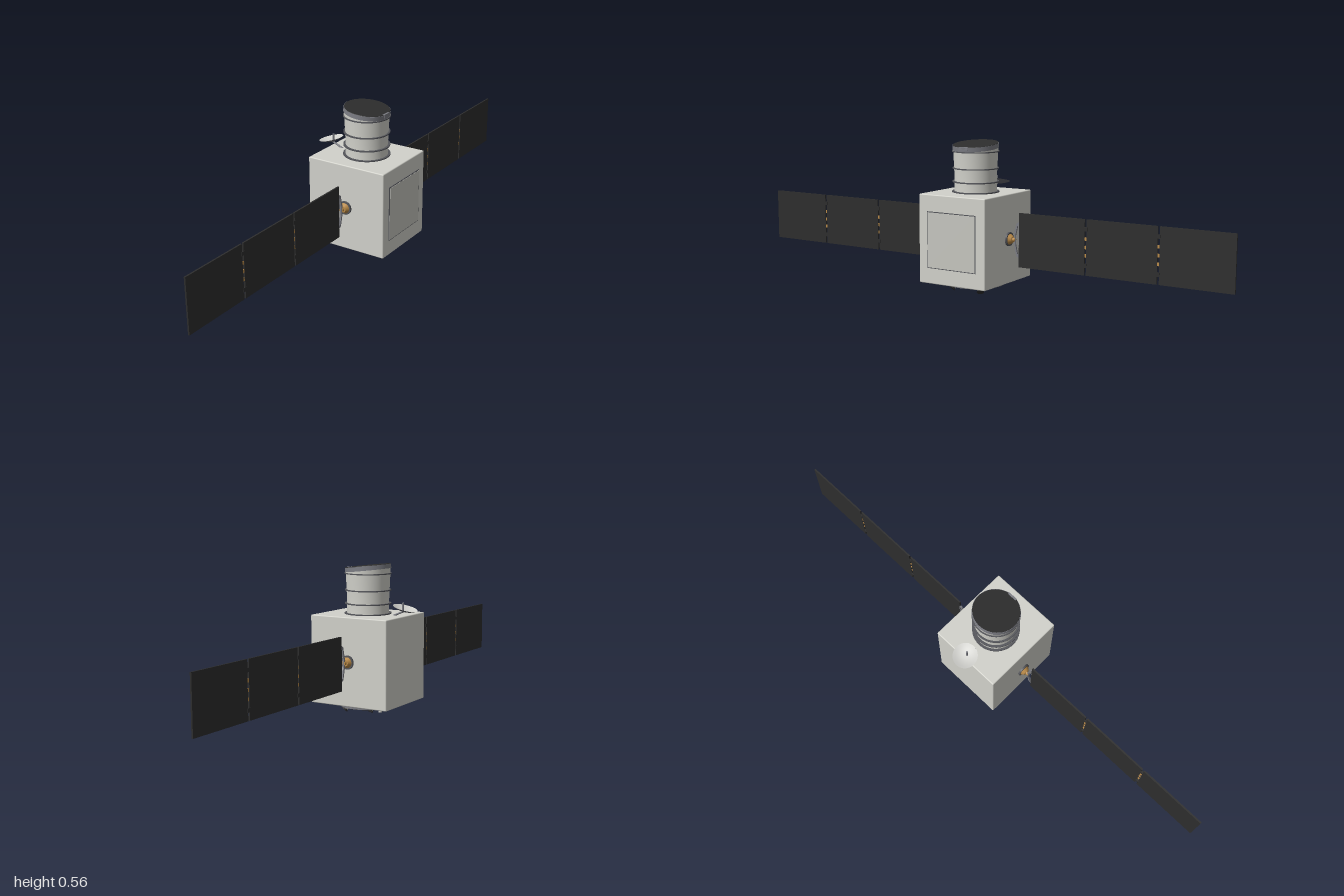
import * as THREE from 'three';
import { RoundedBoxGeometry } from 'three/addons/geometries/RoundedBoxGeometry.js';

const CX = 0.0155; // main axis of the spacecraft
const HUB_Y = 0.207; // height of the wing axis

const mat = (name, color, side = THREE.FrontSide) => {
  const m = new THREE.MeshStandardMaterial({ color, side });
  m.name = name;
  return m;
};

export function createModel() {
  const white = mat('bodyWhite', 0xd2d2cb);
  const panelGrey = mat('panelGrey', 0xc6c6c0);
  const grey = mat('metalGrey', 0x7c7d84);
  const darkGrey = mat('ringGrey', 0x55565b);
  const black = mat('cellBlack', 0x2d2d2d);
  const gold = mat('gold', 0xb98a48);
  const dishWhite = mat('dishWhite', 0xd0d0cc, THREE.DoubleSide);

  const root = new THREE.Group();
  root.name = 'satellite';

  const add = (name, geometry, material, x = 0, y = 0, z = 0, parent = root) => {
    const mesh = new THREE.Mesh(geometry, material);
    mesh.name = name;
    mesh.position.set(x, y, z);
    parent.add(mesh);
    return mesh;
  };
  const cyl = (rt, rb, h, n = 48) => new THREE.CylinderGeometry(rt, rb, h, n);
  const box = (w, h, d) => new THREE.BoxGeometry(w, h, d);
  const group = (name, x, y, z, parent = root) => {
    const g = new THREE.Group();
    g.name = name;
    g.position.set(x, y, z);
    parent.add(g);
    return g;
  };

  // Main body with a framed radiator on one side
  add('body', new RoundedBoxGeometry(0.323, 0.331, 0.286, 2, 0.004), white, CX, 0.2065, 0);
  add('radiatorFrame', box(0.003, 0.21, 0.21), darkGrey, 0.1782, 0.205, 0);
  add('radiatorPanel', box(0.004, 0.204, 0.204), panelGrey, 0.179, 0.205, 0);

  // Telescope barrel, its top cut on a slant to meet the lid
  const SLANT = 0.11;
  const barrel = new THREE.LatheGeometry(
    [[0.079, 0.37], [0.078, 0.412], [0.08, 0.461], [0.083, 0.523], [0.084, 0.536]]
      .map(([r, y]) => new THREE.Vector2(r, y)), 64);
  const p = barrel.attributes.position;
  for (let i = 0; i < p.count; i++) {
    if (p.getY(i) > 0.53) p.setY(i, p.getY(i) - SLANT * p.getX(i));
  }
  barrel.computeVertexNormals();
  add('telescopeBarrel', barrel, white, CX, 0, 0);

  for (const [y, r] of [[0.374, 0.0875], [0.411, 0.0865], [0.461, 0.0865], [0.523, 0.0875]]) {
    add('barrelRing', cyl(r, r, 0.004, 64), darkGrey, CX, y, 0);
  }

  // Slanted lid: grey rim, black top
  const lid = group('lid', CX, 0.542, 0);
  lid.rotation.z = -SLANT;
  add('lidRim', cyl(0.086, 0.086, 0.016, 64), grey, 0, 0, 0, lid);
  add('lidTop', cyl(0.084, 0.085, 0.002, 64), black, 0, 0.0085, 0, lid);
  add('lidHinge', box(0.02, 0.012, 0.036), grey, 0.091, 0.537, 0);

  // Dish antenna on an arm
  const dish = group('dish', -0.14, 0.388, 0);
  dish.rotation.z = 0.25;
  const bowl = (offset) => new THREE.LatheGeometry(
    [0, 0.2, 0.4, 0.6, 0.8, 1].map((t) =>
      new THREE.Vector2(0.0465 * t, 0.014 * t * t + offset * (1 - t))), 40);
  add('dishInside', bowl(0.002), dishWhite, 0, 0, 0, dish);
  add('dishBack', bowl(0), mat('dishBackGrey', 0x686970, THREE.DoubleSide), 0, 0, 0, dish);
  add('dishFeed', cyl(0.004, 0.004, 0.032, 16), grey, -0.134, 0.404, 0);
  const arm = add('dishArm', cyl(0.0035, 0.0035, 0.05, 12), grey, -0.114, 0.379, 0);
  arm.rotation.z = Math.PI / 2 - 0.4;

  // Solar wings, mirrored front and back
  const yokeShape = new THREE.Shape(
    [[0.19, -0.068], [0.19, 0.068], [0.178, 0.06], [0.168, 0.02], [0.168, -0.02], [0.178, -0.06]]
      .map(([z, y]) => new THREE.Vector2(z, y)));
  const yokeHole = new THREE.Path(
    [[0.187, -0.055], [0.182, -0.052], [0.174, -0.016], [0.174, 0.016], [0.182, 0.052], [0.187, 0.055]]
      .map(([z, y]) => new THREE.Vector2(z, y)));
  yokeShape.holes.push(yokeHole);
  const yokeGeo = new THREE.ExtrudeGeometry(yokeShape, { depth: 0.006, bevelEnabled: false });
  yokeGeo.translate(0, 0, -0.003).rotateY(-Math.PI / 2);

  for (const turn of [0, Math.PI]) {
    const wing = group(turn ? 'backWing' : 'frontWing', CX, HUB_Y, 0);
    wing.rotation.y = turn;
    for (const [a, b] of [[0.188, 0.455], [0.462, 0.728], [0.736, 1.0]]) {
      add('solarPanel', box(0.006, 0.2, b - a), black, 0, 0, (a + b) / 2, wing);
    }
    for (const z of [0.4585, 0.732]) {
      for (const y of [-0.065, 0.065]) {
        add('panelHinge', box(0.009, 0.014, 0.014), black, 0, y, z, wing);
      }
      for (const y of [-0.03, 0, 0.03]) {
        add('hingePin', box(0.003, 0.012, 0.01), gold, 0, y, z, wing);
      }
    }
    add('yoke', yokeGeo, grey, 0, 0, 0, wing);

    // Drive hub between body and yoke
    const hub = group('driveHub', 0, 0, 0, wing);
    hub.rotation.x = Math.PI / 2;
    add('hubCollar', cyl(0.0255, 0.0255, 0.008, 40), darkGrey, 0, 0.146, 0, hub);
    add('hubCone', cyl(0.012, 0.02, 0.012, 40), gold, 0, 0.156, 0, hub);
    add('hubShaft', cyl(0.007, 0.007, 0.012, 20), gold, 0, 0.166, 0, hub);
  }

  // Base plate with engines
  add('basePlate', cyl(0.109, 0.109, 0.016, 64), grey, CX, 0.034, 0);
  add('basePlateUnderside', cyl(0.107, 0.107, 0.002, 64), black, CX, 0.0258, 0);
  add('nozzle', cyl(0.007, 0.007, 0.026, 20), white, -0.037, 0.013, 0);
  for (const sz of [-1, 1]) {
    for (const [x, tilt, len] of [[-0.035, 0.15, 0.7], [0.07, 0.6, 1]]) {
      const thruster = group('thruster', x, 0.025, sz * 0.056);
      thruster.rotation.set(-sz * 0.45, 0, tilt);
      thruster.scale.setScalar(len);
      add('thrusterBody', cyl(0.008, 0.01, 0.014, 20), white, 0, -0.006, 0, thruster);
      add('thrusterBell', cyl(0.009, 0.014, 0.008, 20), black, 0, -0.016, 0, thruster);
    }
  }

  return root;
}
